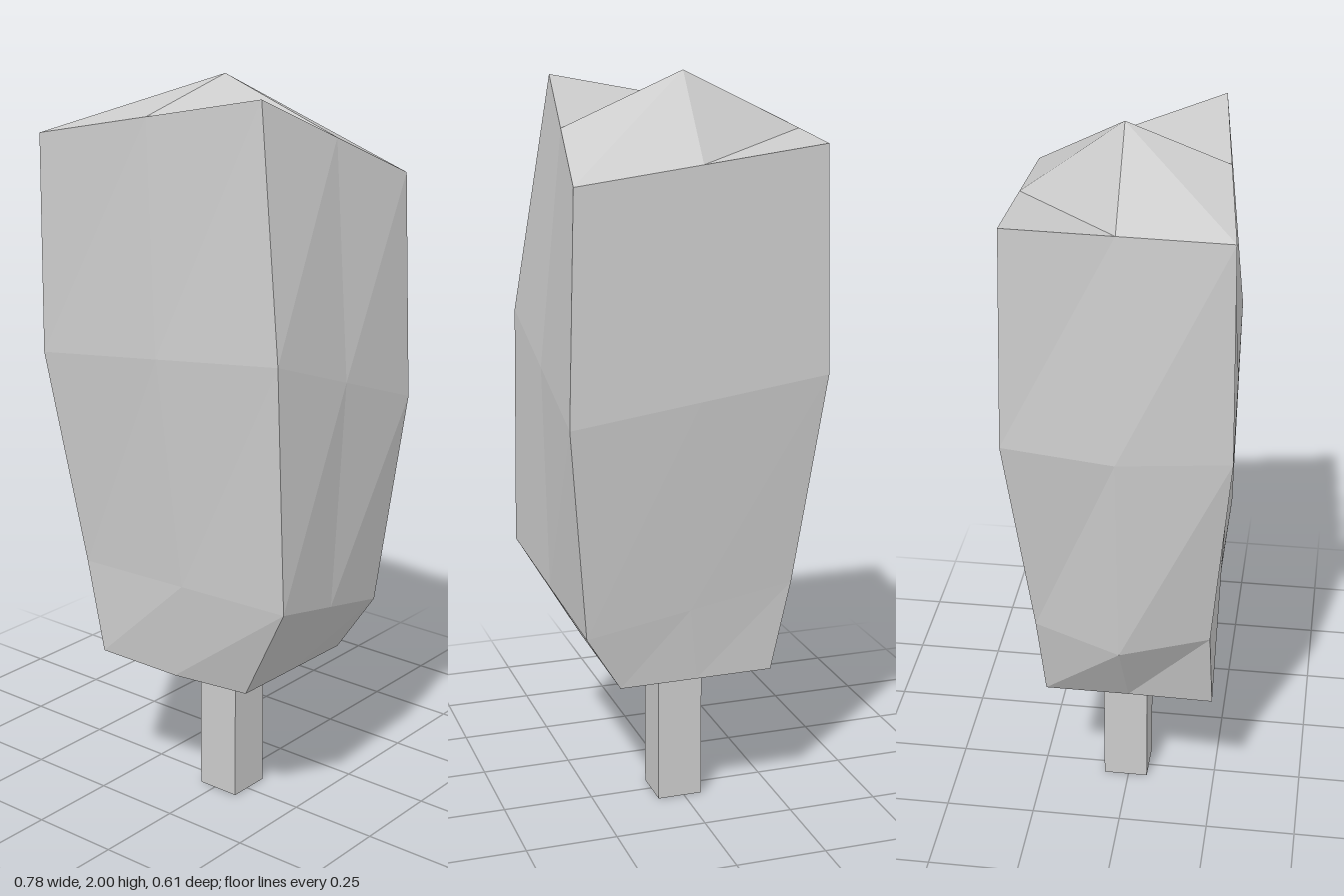
import * as THREE from 'three';

// Corners of each crown ring, bottom to top: front-left, front-right, back-right, back-left on screen
const RINGS = [
  [[-0.23, 0.43, 0.255], [0.22, 0.41, 0.19], [0.226, 0.41, -0.215], [-0.2, 0.41, -0.21]],
  [[-0.29, 0.68, 0.25], [0.39, 0.70, 0.25], [0.325, 0.57, -0.245], [-0.25, 0.66, -0.225]],
  [[-0.38, 1.27, 0.303], [0.375, 1.35, 0.263], [0.378, 1.15, -0.305], [-0.32, 1.24, -0.29]],
  [[-0.38, 1.85, 0.295], [0.28, 1.98, 0.212], [0.357, 1.75, -0.295], [-0.312, 1.83, -0.275]],
];

// Points that leave the even blend of their corners, keyed by grid position x, ring, z
const PUSHED = {
  '1,3,1': [-0.015, 2, -0.012], // peak
  '0,2,1': [-0.39, 1.25, 0.012], // bulge on the -x side
  '0,1,1': [-0.35, 0.65, 0.015],
  '1,0,2': [0, 0.41, 0.222], // level underside
  '0,0,1': [-0.2, 0.41, 0.02],
  '1,0,1': [0, 0.41, 0],
};

function crownPoint(i, ring, k) {
  const pushed = PUSHED[`${i},${ring},${k}`];
  if (pushed) return new THREE.Vector3(...pushed);
  const [fl, fr, br, bl] = RINGS[ring].map((c) => new THREE.Vector3(...c));
  const front = fl.lerp(fr, i / 2);
  const back = bl.lerp(br, i / 2);
  return back.lerp(front, k / 2);
}

// Box grid moved onto the rings
function crownGeometry() {
  const box = new THREE.BoxGeometry(2, 3, 2, 2, 3, 2);
  const pos = box.attributes.position;
  for (let n = 0; n < pos.count; n++) {
    const p = crownPoint(
      Math.round(pos.getX(n) + 1),
      Math.round(pos.getY(n) + 1.5),
      Math.round(pos.getZ(n) + 1)
    );
    pos.setXYZ(n, p.x, p.y, p.z);
  }
  const geometry = box.toNonIndexed();
  geometry.computeVertexNormals();
  return geometry;
}

export function createModel() {
  const group = new THREE.Group();
  group.name = 'tree';
  const material = new THREE.MeshStandardMaterial({ color: 0xcccccc, flatShading: true });

  // Square trunk, running slightly into the crown
  const trunk = new THREE.Mesh(new THREE.BoxGeometry(0.125, 0.42, 0.125), material);
  trunk.name = 'trunk';
  trunk.position.set(0.012, 0.21, -0.008);
  group.add(trunk);

  // Faceted crown
  const crown = new THREE.Mesh(crownGeometry(), material);
  crown.name = 'crown';
  group.add(crown);

  return group;
}
